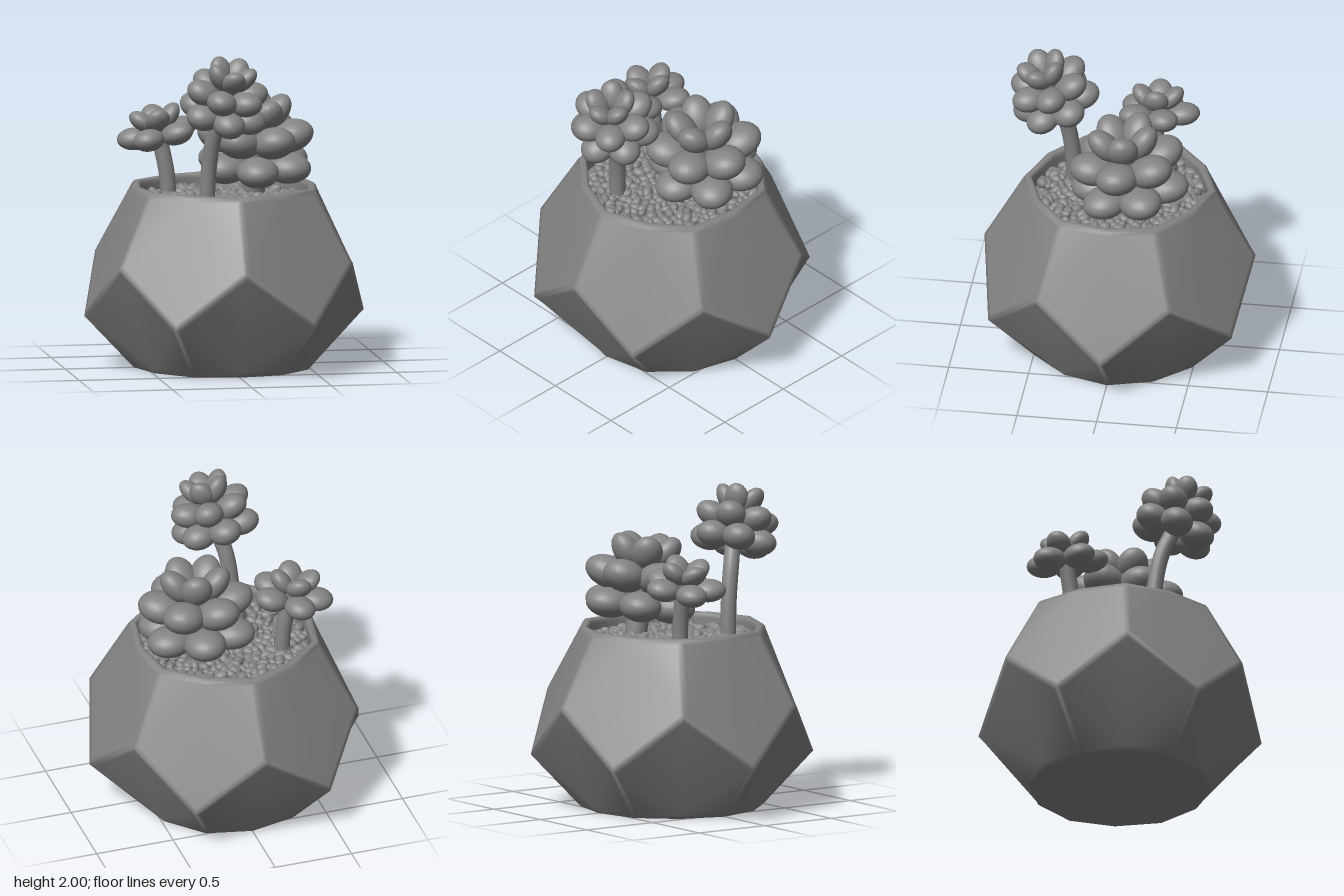
import * as THREE from 'three';
import { mergeGeometries, mergeVertices } from 'three/addons/utils/BufferGeometryUtils.js';

const material = new THREE.MeshStandardMaterial({ color: 0x848484 });
const rad = THREE.MathUtils.degToRad;

let seed = 7;
const rand = () => (seed = (seed * 16807) % 2147483647) / 2147483647;

function mesh(name, geometry) {
  const m = new THREE.Mesh(geometry, material);
  m.name = name;
  return m;
}

// Point number i of a twelve-sided ring
const ringPoint = (i, r, y) => {
  const a = (i % 12) * Math.PI / 6;
  return [r * Math.cos(a), y, r * Math.sin(a)];
};

function fromPoints(points, indices) {
  const g = new THREE.BufferGeometry();
  g.setAttribute('position', new THREE.Float32BufferAttribute(points.flat(), 3));
  g.setIndex(indices);
  return g;
}

const topR = i => (i % 2 ? 0.605 : 0.578);
const baseR = i => (i % 2 ? 0.57 : 0.58);
const top = i => ringPoint(i, topR(i), 1.118);
const base = i => ringPoint(i, baseR(i), 0.012);
const low = i => ringPoint(i, 0.88, 0.33);
const high = i => ringPoint(i, 0.85, 0.68);

// Panel with a narrow border strip, so that the shading rounds off at its edges
function panel(corners) {
  const n = corners.length;
  const mid = [0, 1, 2].map(k => corners.reduce((sum, c) => sum + c[k], 0) / n);
  const inner = corners.map(c => c.map((v, k) => v + (mid[k] - v) * 0.07));
  const index = [];
  for (let i = 0; i < n; i++) {
    const j = (i + 1) % n;
    index.push(i, j, n + j, i, n + j, n + i);
    if (i > 0 && i < n - 1) index.push(n, n + i, n + j);
  }
  return fromPoints([...corners, ...inner], index);
}

// Six upper and six lower pentagonal panels
function potPanels() {
  const panels = [];
  for (let i = 2; i < 14; i++) {
    panels.push(panel(i % 2 === 0
      ? [top(i), top(i + 1), high(i + 1), low(i), high(i - 1), top(i - 1)]
      : [base(i), base(i - 1), low(i - 1), high(i), low(i + 1), base(i + 1)]));
  }
  return panels;
}

// Band through twelve-sided rings given as [radius function, y]
function ringBand(rings) {
  const quads = [];
  for (let k = 0; k < rings.length - 1; k++) {
    const [[ra, ya], [rb, yb]] = [rings[k], rings[k + 1]];
    for (let i = 0; i < 12; i++) {
      quads.push(fromPoints([
        ringPoint(i, ra(i), ya), ringPoint(i, rb(i), yb),
        ringPoint(i + 1, rb(i + 1), yb), ringPoint(i + 1, ra(i + 1), ya),
      ], [0, 1, 2, 0, 2, 3]));
    }
  }
  return quads;
}

// Faceted pot with soft edges, a rim, a hollow inside and a flat underside
function potGeometry() {
  const inset = (f, d) => i => f(i) - d;
  const g = mergeVertices(mergeGeometries([
    ...potPanels(),
    ...ringBand([[topR, 1.118], [inset(topR, 0.014), 1.132], [inset(topR, 0.04), 1.132],
      [inset(topR, 0.052), 1.12], [inset(topR, 0.053), 1.1], [inset(topR, 0.053), 1.0]]),
    ...ringBand([[() => 0, 0], [inset(baseR, 0.03), 0], [inset(baseR, 0.012), 0], [baseR, 0.012]]),
  ]));
  g.computeVertexNormals();
  return g;
}

// Gravel spread in a sunflower pattern
function pebbles() {
  const list = [];
  const count = 330;
  for (let i = 0; i < count; i++) {
    const r = 0.515 * Math.sqrt((i + 0.5) / count);
    const a = i * 2.39996 + (rand() - 0.5) * 0.08;
    const s = 0.025 + rand() * 0.015;
    const g = new THREE.SphereGeometry(1, 10, 7);
    g.scale(s * 1.25, s * 0.85, s * 0.85);
    g.rotateZ((rand() - 0.5) * 0.8);
    g.rotateY(rand() * Math.PI);
    g.translate(r * Math.cos(a), 1.035 + rand() * 0.02, r * Math.sin(a));
    list.push(g);
  }
  return mergeGeometries(list);
}

// Rosette plant: a curved stem and tiers of plump leaves around a leaning axis
function plant({ name, stem, stemRadius, head, axis, tiers }) {
  const group = new THREE.Group();
  group.name = name;
  const up = new THREE.Vector3(...axis).normalize();
  const center = new THREE.Vector3(...head);
  const tip = center.clone().addScaledVector(up, tiers.at(-1).h);
  const path = new THREE.CatmullRomCurve3([...stem.map(p => new THREE.Vector3(...p)), center, tip]);
  group.add(mesh('stem', new THREE.TubeGeometry(path, 24, stemRadius, 16)));

  const crown = new THREE.Group();
  crown.name = 'rosette';
  crown.position.copy(center);
  crown.quaternion.setFromUnitVectors(new THREE.Vector3(0, 1, 0), up);
  for (const { n, phase, r, h, tilt, size } of tiers) {
    for (let i = 0; i < n; i++) {
      const g = new THREE.SphereGeometry(1, 24, 16);
      g.scale(...size);
      g.rotateZ(rad(tilt));
      g.translate(r, h, 0);
      g.rotateY(-rad(phase + i * 360 / n));
      crown.add(mesh('leaf', g));
    }
  }
  group.add(crown);
  return group;
}

const plants = [
  {
    name: 'tallPlant', stemRadius: 0.05,
    stem: [[-0.165, 1.0, 0.31], [-0.155, 1.25, 0.32], [-0.13, 1.47, 0.355]],
    head: [-0.08, 1.64, 0.41], axis: [0.15, 0.94, 0.31],
    tiers: [
      { n: 6, phase: 25, r: 0.165, h: 0, tilt: 2, size: [0.115, 0.082, 0.102] },
      { n: 6, phase: 50, r: 0.155, h: 0.13, tilt: 20, size: [0.113, 0.077, 0.095] },
      { n: 5, phase: 15, r: 0.085, h: 0.25, tilt: 55, size: [0.097, 0.055, 0.075] },
    ],
  },
  {
    name: 'broadPlant', stemRadius: 0.07,
    stem: [[0.21, 0.99, -0.14], [0.21, 1.1, -0.12]],
    head: [0.21, 1.235, -0.095], axis: [0, 1, 0.12],
    tiers: [
      { n: 6, phase: 35, r: 0.225, h: 0.01, tilt: 2, size: [0.15, 0.095, 0.132] },
      { n: 6, phase: 8, r: 0.215, h: 0.19, tilt: 17, size: [0.15, 0.1, 0.132] },
      { n: 5, phase: -5, r: 0.125, h: 0.335, tilt: 52, size: [0.128, 0.078, 0.1] },
    ],
  },
  {
    name: 'smallPlant', stemRadius: 0.05,
    stem: [[-0.32, 1.0, -0.17], [-0.33, 1.18, -0.17]],
    head: [-0.375, 1.41, -0.18], axis: [-0.2, 0.96, 0.0],
    tiers: [
      { n: 5, phase: -20, r: 0.155, h: 0.02, tilt: 8, size: [0.11, 0.07, 0.096] },
      { n: 4, phase: 0, r: 0.085, h: 0.12, tilt: 45, size: [0.092, 0.055, 0.078] },
    ],
  },
];

export function createModel() {
  const model = new THREE.Group();
  model.name = 'pottedSucculents';
  seed = 7;

  // Soil disc under the gravel
  const soil = new THREE.CircleGeometry(0.57, 12);
  soil.rotateX(-Math.PI / 2);
  soil.translate(0, 1.025, 0);

  model.add(mesh('pot', potGeometry()), mesh('soil', soil), mesh('gravel', pebbles()));
  plants.forEach(p => model.add(plant(p)));
  return model;
}
